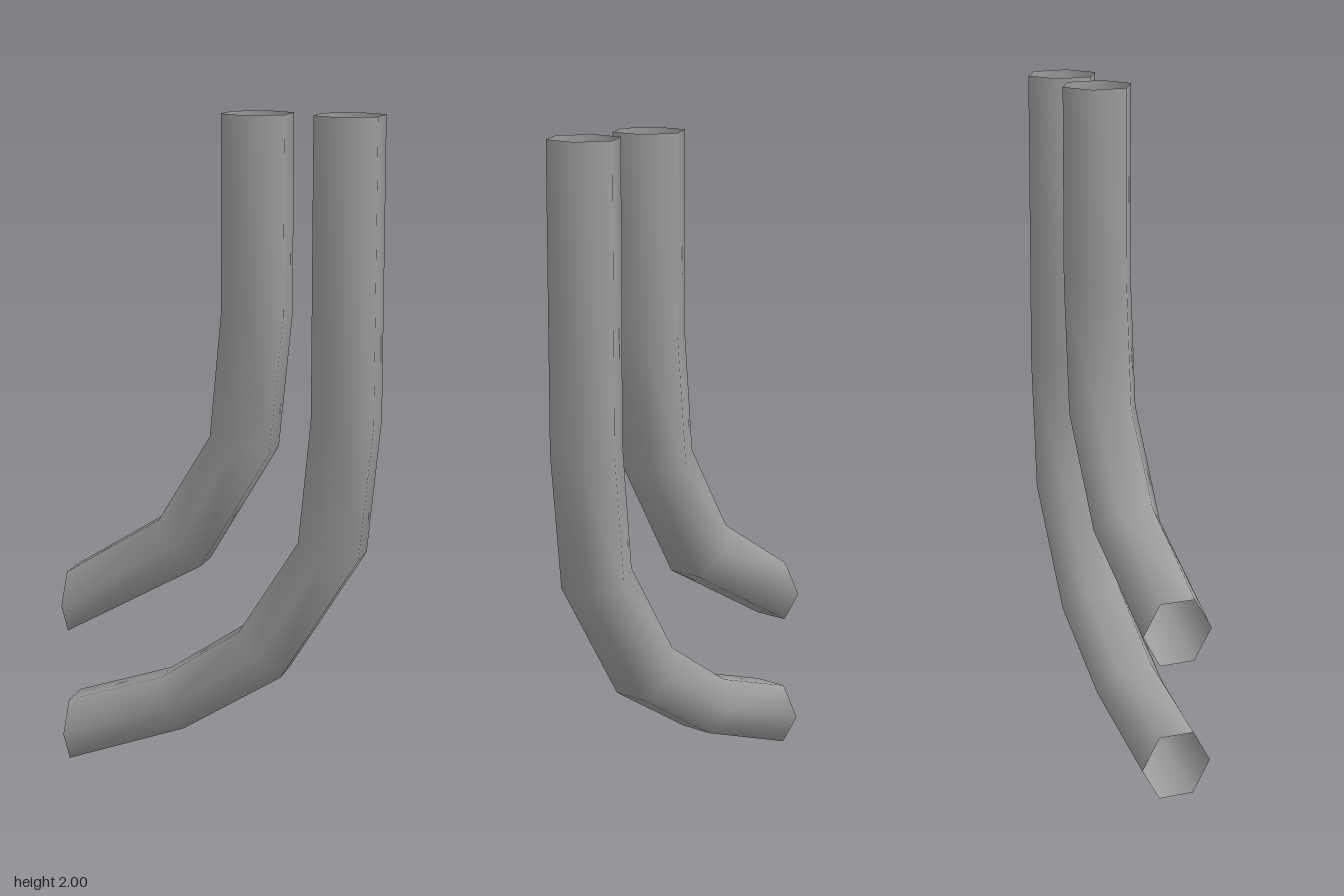
import * as THREE from 'three';

const SIDES = 6;
const FLAT_Z = 0.054; // half width of the inner and outer flats
const RIDGE_Z = 0.108; // half depth at the front and back ridges

// Open hexagonal pipe; each section is [innerX, innerY, outerX, outerY].
function bentPipe(name, sections, material) {
  const positions = [], index = [];
  for (const [ax, ay, bx, by] of sections) {
    const mx = (ax + bx) / 2, my = (ay + by) / 2;
    positions.push(
      ax, ay, FLAT_Z, mx, my, RIDGE_Z, bx, by, FLAT_Z,
      bx, by, -FLAT_Z, mx, my, -RIDGE_Z, ax, ay, -FLAT_Z
    );
  }
  for (let r = 0; r < sections.length - 1; r++) {
    for (let i = 0; i < SIDES; i++) {
      const a = r * SIDES + i, b = r * SIDES + (i + 1) % SIDES;
      index.push(a, a + SIDES, b + SIDES, a, b + SIDES, b);
    }
  }
  const geometry = new THREE.BufferGeometry();
  geometry.setAttribute('position', new THREE.Float32BufferAttribute(positions, 3));
  geometry.setIndex(index);
  geometry.computeVertexNormals();
  const mesh = new THREE.Mesh(geometry, material);
  mesh.name = name;
  return mesh;
}

export function createModel() {
  const group = new THREE.Group();
  group.name = 'bentPipes';
  const material = new THREE.MeshStandardMaterial({ color: 0x9c9c9c, side: THREE.DoubleSide });

  // Shorter pipe on the inside of the bend
  group.add(bentPipe('innerPipe', [
    [0.015, 2, 0.203, 2],
    [0.015, 1.425, 0.203, 1.415],
    [-0.02, 1.05, 0.163, 1.01],
    [-0.18, 0.785, -0.05, 0.65],
    [-0.476, 0.6, -0.476, 0.413],
  ], material));

  // Longer pipe sweeping around it
  group.add(bentPipe('outerPipe', [
    [0.288, 2, 0.476, 2],
    [0.288, 1.12, 0.476, 1.11],
    [0.252, 0.745, 0.436, 0.705],
    [0.07, 0.455, 0.2, 0.323],
    [-0.175, 0.29, -0.105, 0.133],
    [-0.476, 0.19, -0.476, 0],
  ], material));

  return group;
}
